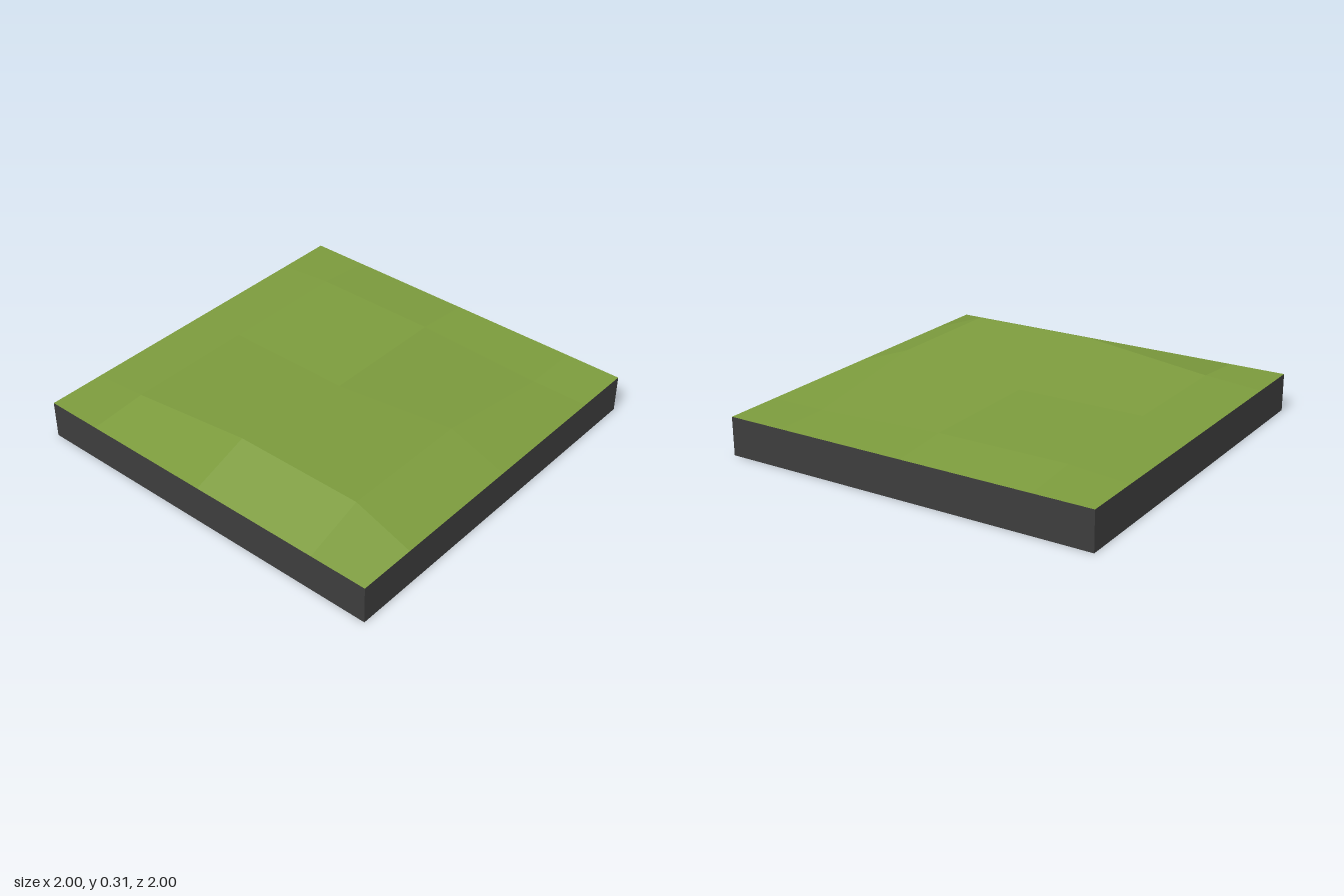
import * as THREE from 'three';

const BASE = 0.2; // top of the slab
const MID = 0.226, HIGH = 0.31; // the two hill levels
const GRID = [-1, -0.695, 0, 0.695, 1];

// Heights at the grid points, one row per z from back to front
const HEIGHTS = [
  [BASE, BASE, BASE, BASE, BASE],
  [BASE, MID, MID, MID, BASE],
  [BASE, HIGH, MID, MID, BASE],
  [BASE, HIGH, HIGH, BASE, BASE],
  [BASE, BASE, BASE, BASE, BASE],
];

// Faceted ground: every grid cell is one quad with a single shared normal
function terrainGeometry() {
  const positions = [], normals = [], index = [];
  const point = (i, j) => new THREE.Vector3(GRID[i], HEIGHTS[j][i], GRID[j]);
  for (let j = 0; j < 4; j++) {
    for (let i = 0; i < 4; i++) {
      const a = point(i, j), b = point(i, j + 1), c = point(i + 1, j + 1), d = point(i + 1, j);
      const normal = c.clone().sub(a).cross(d.clone().sub(b)).normalize();
      const n = positions.length / 3;
      for (const p of [a, b, c, d]) {
        positions.push(p.x, p.y, p.z);
        normals.push(normal.x, normal.y, normal.z);
      }
      index.push(n, n + 1, n + 3, n + 1, n + 2, n + 3);
    }
  }
  const geometry = new THREE.BufferGeometry();
  geometry.setAttribute('position', new THREE.Float32BufferAttribute(positions, 3));
  geometry.setAttribute('normal', new THREE.Float32BufferAttribute(normals, 3));
  geometry.setIndex(index);
  return geometry;
}

// Slab with its top face left out, since the ground covers it
function slabGeometry() {
  const box = new THREE.BoxGeometry(2, BASE, 2).translate(0, BASE / 2, 0);
  box.setIndex(Array.from(box.index.array).filter((_, k) => k < 12 || k >= 18));
  box.clearGroups();
  return box;
}

export function createModel() {
  const grass = new THREE.MeshStandardMaterial({ name: 'grass green', color: 0x7c9b3d });
  const stone = new THREE.MeshStandardMaterial({ name: 'dark grey', color: 0x3d3d3d });

  const model = new THREE.Group();
  model.name = 'grassTile';

  const slab = new THREE.Mesh(slabGeometry(), stone);
  slab.name = 'slab';
  const ground = new THREE.Mesh(terrainGeometry(), grass);
  ground.name = 'grassGround';
  model.add(slab, ground);
  return model;
}
